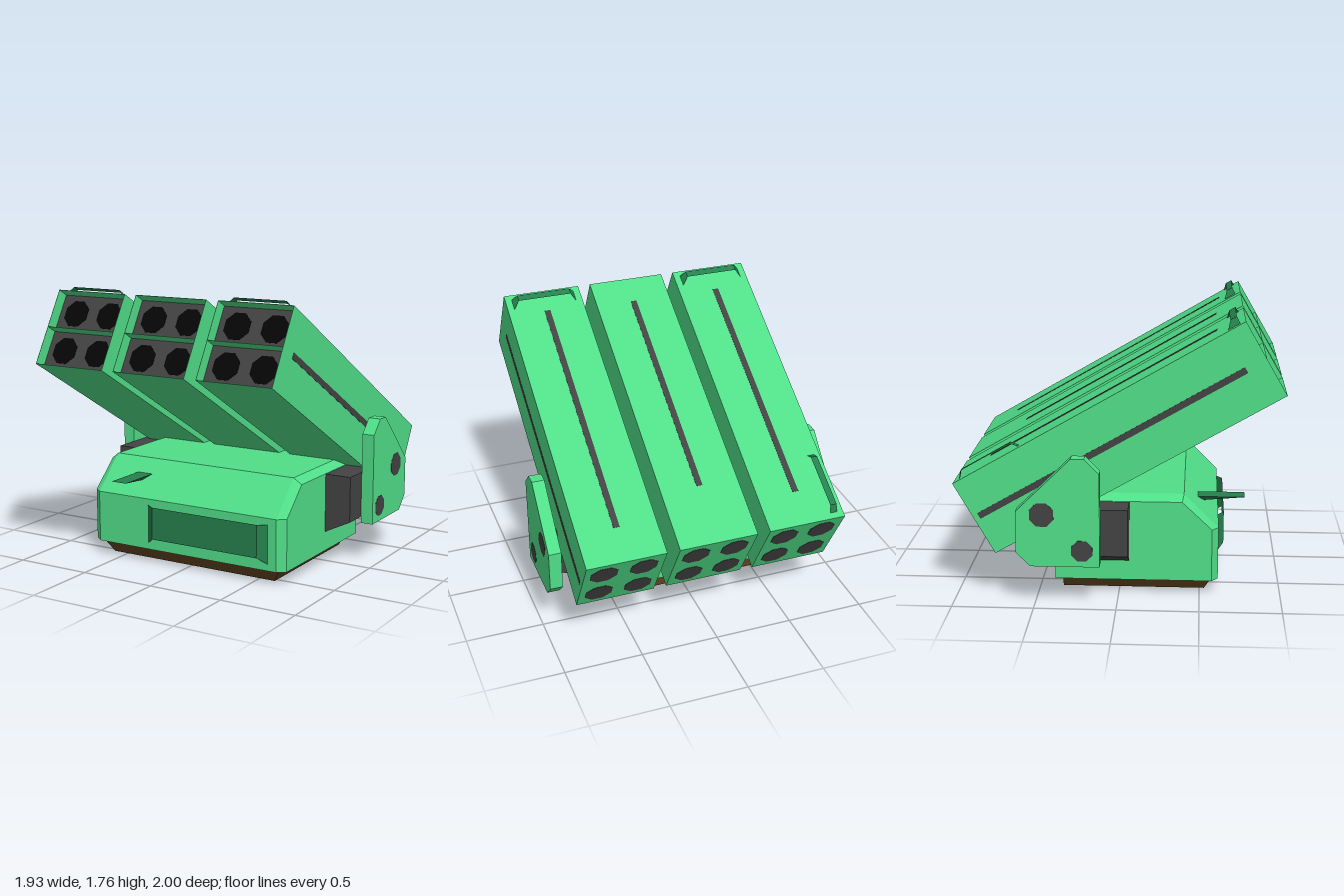
import * as THREE from 'three';
import { ConvexGeometry } from 'three/addons/geometries/ConvexGeometry.js';

const mat = (color, side = THREE.FrontSide) => new THREE.MeshStandardMaterial({ color, side, flatShading: true });
const GREEN = mat(0x50de88), DARK_GREEN = mat(0x26804e), GREY = mat(0x434343);
const BLACK = mat(0x050505), BROWN = mat(0x5f4020), SOOT = mat(0x2e2e2e);
const SHEET_GREEN = mat(0x26804e, THREE.DoubleSide);

function add(parent, name, geometry, material, x = 0, y = 0, z = 0) {
  const mesh = new THREE.Mesh(geometry, material);
  mesh.name = name;
  mesh.position.set(x, y, z);
  parent.add(mesh);
  return mesh;
}
const box = (w, h, d) => new THREE.BoxGeometry(w, h, d);
const hull = (points) => new ConvexGeometry(points.map((p) => new THREE.Vector3(...p)));

// Flat-topped octagonal disc, its axis along z or x
function octagon(apothem, depth, alongX = false) {
  const g = new THREE.CylinderGeometry(apothem / Math.cos(Math.PI / 8), apothem / Math.cos(Math.PI / 8), depth, 8);
  g.rotateY(Math.PI / 8);
  return alongX ? g.rotateZ(Math.PI / 2) : g.rotateX(Math.PI / 2);
}

// Walls through rectangular rings [halfWidth, y, zBack, zFront], from the top down
function ringWalls(rings) {
  const points = [], index = [];
  for (const [x, y, z0, z1] of rings) points.push(x, y, z1, x, y, z0, -x, y, z0, -x, y, z1);
  for (let r = 0; r < rings.length - 1; r++) {
    for (let i = 0; i < 4; i++) {
      const a = r * 4 + i, b = r * 4 + (i + 1) % 4;
      index.push(a, a + 4, b, b, a + 4, b + 4);
    }
  }
  const g = new THREE.BufferGeometry();
  g.setAttribute('position', new THREE.Float32BufferAttribute(points, 3));
  g.setIndex(index);
  const flat = g.toNonIndexed();
  flat.computeVertexNormals();
  return flat;
}

// Thin sheet handle along x: two sloped legs and a raised bar.
// One edge lies on z = 0, the other flares from barWidth to footWidth.
function sheetHandle(length, inset, height, barWidth, footWidth) {
  const a = length / 2, b = a - inset;
  const g = new THREE.PlaneGeometry(1, 1, 3, 1);
  const stations = [[-a, 0, footWidth], [-b, height, barWidth], [b, height, barWidth], [a, 0, footWidth]];
  stations.forEach(([x, y, w], i) => {
    g.attributes.position.setXYZ(i, x, y, 0);
    g.attributes.position.setXYZ(i + 4, x, y, w);
  });
  g.computeVertexNormals();
  return g;
}

const W = 0.506, H = 0.506, L = 2.02, RECESS = 0.08;

// One launch pod: closed case, thin-walled recessed mouth, two rows of tubes
function buildPod(name) {
  const pod = new THREE.Group();
  pod.name = name;
  const mouth = L / 2 - RECESS;
  add(pod, 'podCase', box(W, H, L - RECESS), GREEN, 0, 0, -RECESS / 2);
  const t = 0.002, zLip = L / 2 - RECESS / 2;
  for (const y of [-H / 2 + t / 2, 0, H / 2 - t / 2]) add(pod, 'mouthShelf', box(W, t, RECESS), GREEN, 0, y, zLip);
  for (const s of [-1, 1]) {
    add(pod, 'mouthSide', box(t, H, RECESS), GREEN, s * (W - t) / 2, 0, zLip);
    add(pod, 'tubePlate', box(W - 2 * t, H / 2 - t, 0.004), GREY, 0, s * H / 4, mouth);
    for (const sx of [-1, 1]) {
      add(pod, 'tubeMouth', octagon(0.085, 0.004), BLACK, sx * 0.126, s * H / 4 + 0.003, mouth + 0.002);
      add(pod, 'tubeRear', octagon(0.085, 0.004), GREY, sx * 0.126, s * H / 4, -L / 2);
    }
  }
  return pod;
}

export function createModel() {
  const model = new THREE.Group();
  model.name = 'rocketLauncher';

  // Base: tapered foot, hollowed from below, with a dark ceiling
  add(model, 'base', ringWalls([
    [0.66, 0.088, -0.355, 0.575], [0.605, 0, -0.355, 0.53], [0.545, 0, -0.295, 0.47], [0.545, 0.05, -0.295, 0.47],
  ]), BROWN);
  add(model, 'baseUnderside', box(1.09, 0.03, 0.765), SOOT, 0, 0.065, 0.0875);

  // Body: sloped front with chamfered sides
  const body = [];
  for (const s of [-1, 1]) {
    for (const [z, y] of [[0.615, 0.087], [0.615, 0.42], [0.4, 0.634], [-0.395, 0.634], [-0.395, 0.087]]) body.push([s * 0.66, y, z]);
    for (const [z, y] of [[0.575, 0.087], [0.575, 0.42], [0.39, 0.595], [-0.395, 0.595], [-0.395, 0.087]]) body.push([s * 0.712, y, z]);
  }
  add(model, 'body', hull(body), GREEN);

  // Front guard sheet and the small fin on the slope
  const guard = add(model, 'frontGuard', sheetHandle(0.875, 0.055, 0.04, 0.21, 0.25), SHEET_GREEN, 0.1625, 0.38, 0.615);
  guard.rotation.x = Math.PI / 2;
  add(model, 'frontFin', hull([
    [-0.44, 0.55, 0.78], [-0.33, 0.55, 0.78], [-0.44, 0.55, 0.485], [-0.33, 0.55, 0.485], [-0.385, 0.51, 0.52],
  ]), DARK_GREEN);

  // Side arms, pivot brackets and pin heads
  const outline = [[-0.1, 0.257], [-0.1, 0.84], [-0.19, 0.93], [-0.27, 0.93], [-0.605, 0.6], [-0.605, 0.343], [-0.52, 0.257]];
  for (const s of [-1, 1]) {
    const side = new THREE.Group();
    side.name = s > 0 ? 'leftMount' : 'rightMount';
    model.add(side);
    const arm = [], bracket = [];
    for (const z of [0.065, -0.355]) {
      arm.push([s * 0.7, 0.592, z], [s * 0.885, 0.592, z], [s * 0.7, 0.207, z], [s * 0.885, 0.298, z]);
    }
    for (const x of [0.885, 0.966]) for (const [z, y] of outline) bracket.push([s * x, y, z]);
    add(side, 'arm', hull(arm), GREY);
    add(side, 'bracket', hull(bracket), GREEN);
    add(side, 'upperPin', octagon(0.073, 0.003, true), GREY, s * 0.966, 0.582, -0.448);
    add(side, 'lowerPin', octagon(0.064, 0.003, true), GREY, s * 0.966, 0.358, -0.207);
  }

  // Launch pods, tilted up together
  const rack = new THREE.Group();
  rack.name = 'podRack';
  rack.position.y = 1.015;
  rack.rotation.x = -Math.PI / 6;
  model.add(rack);
  const stripEnds = [[-0.778, 0.825], [-0.61, 0.825], [-0.778, 0.85]];
  for (const s of [-1, 0, 1]) {
    const pod = buildPod(['rightPod', 'middlePod', 'leftPod'][s + 1]);
    pod.position.x = s * 0.588;
    rack.add(pod);
    // Dark inlaid strips on the top and the outer side
    const [z0, z1] = stripEnds[s + 1];
    add(pod, 'topStrip', box(0.04, 0.003, z1 - z0), GREY, 0, H / 2, (z0 + z1) / 2);
    if (s) {
      add(pod, 'sideStrip', box(0.003, 0.04, 1.85), GREY, s * W / 2, 0, -0.05);
      const handle = add(pod, 'frontHandle', sheetHandle(0.42, 0.035, 0.04, 0.043, 0.08), SHEET_GREEN, 0, H / 2, 0.973);
      handle.rotation.y = Math.PI;
    }
    if (s < 0) {
      const handle = add(pod, 'rearHandle', sheetHandle(0.42, 0.035, 0.04, 0.043, 0.043), SHEET_GREEN, -0.212, H / 2, -0.76);
      handle.rotation.y = Math.PI / 2;
    }
  }
  return model;
}
